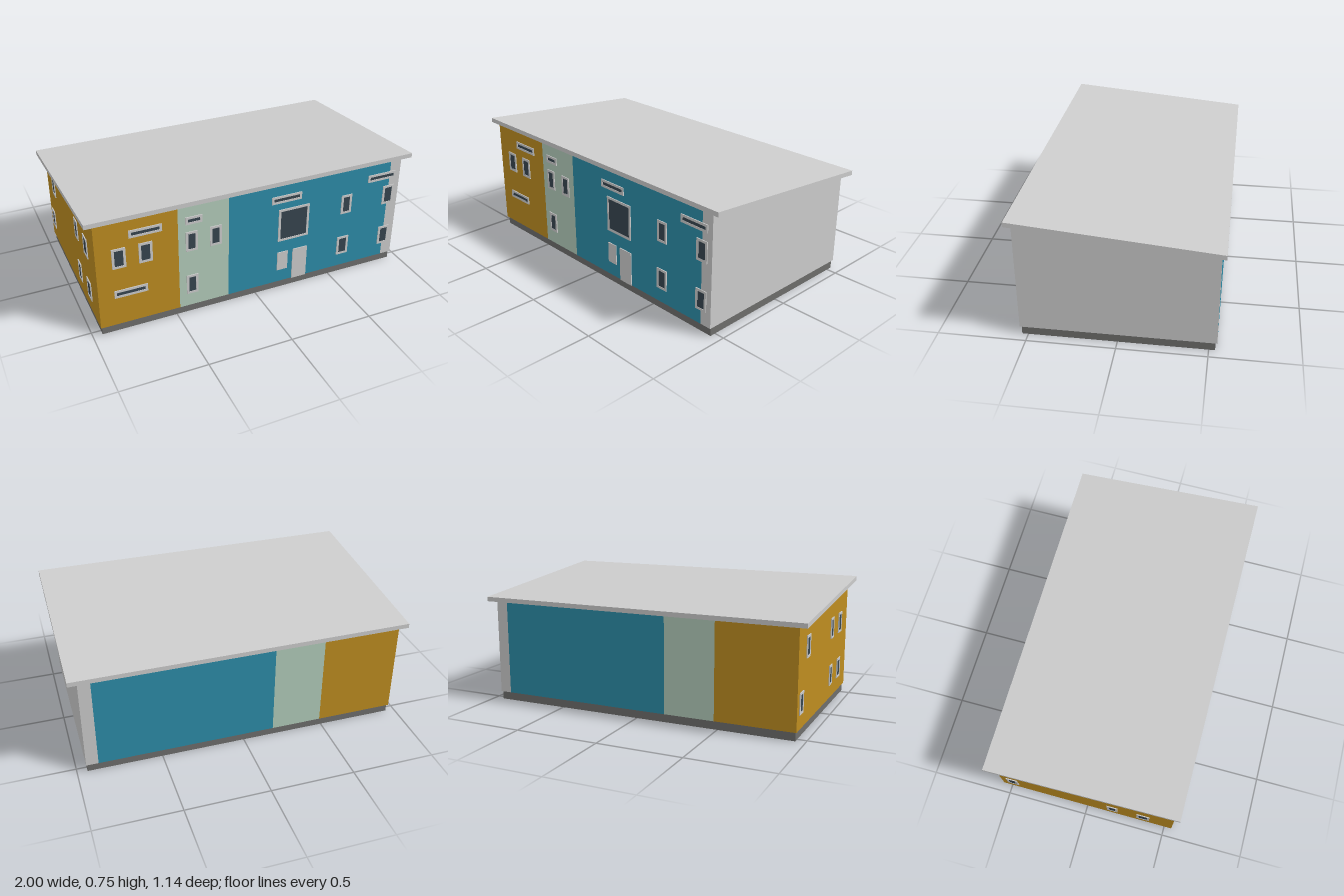
import * as THREE from 'three';

const mat = (name, color) => {
  const m = new THREE.MeshStandardMaterial({ color });
  m.name = name;
  return m;
};

export function createModel() {
  const group = new THREE.Group();
  group.name = 'building';
  const ochre = mat('ochre', 0xbd8c20);
  const mint = mat('mint', 0xb2ccba);
  const blue = mat('blue', 0x2c8ca8);
  const grey = mat('lightGrey', 0xcccccc);
  const plinthGrey = mat('plinthGrey', 0x6e6e6c);
  const glassDark = mat('glass', 0x36454f);

  const add = (parent, name, geometry, material) => {
    const mesh = new THREE.Mesh(geometry, material);
    mesh.name = name;
    parent.add(mesh);
    return mesh;
  };

  // Underside of the sloping roof, higher at the front
  const eave = z => 0.67 + 0.0877 * z;

  // Prism with a (z, y) profile running from x0 to x1
  const prism = (profile, x0, x1) => {
    const shape = new THREE.Shape(profile.map(([z, y]) => new THREE.Vector2(-z, y)));
    const g = new THREE.ExtrudeGeometry(shape, { depth: x1 - x0, bevelEnabled: false });
    return g.rotateY(Math.PI / 2).translate(x0, 0, 0);
  };

  // Plinth
  const plinth = add(group, 'plinth', new THREE.BoxGeometry(1.885, 0.05, 1.07), plinthGrey);
  plinth.position.set(-0.002, 0.025, 0);

  // Coloured wall sections
  const W = 0.545;
  const wallProfile = [[W, 0.05], [W, eave(W)], [-W, eave(-W)], [-W, 0.05]];
  [
    ['ochreWalls', -0.952, -0.483, ochre],
    ['mintWalls', -0.483, -0.18, mint],
    ['blueWalls', -0.18, 0.875, blue],
    ['greyWalls', 0.875, 0.946, grey],
  ].forEach(([name, x0, x1, m]) => add(group, name, prism(wallProfile, x0, x1), m));

  // Roof slab
  const R = 0.57, T = 0.027;
  add(group, 'roof', prism(
    [[R, eave(R)], [R, eave(R) + T], [-R, eave(-R) + T], [-R, eave(-R)]], -1, 1), grey);

  // Framed window in the local xy plane, facing +z
  const makeWindow = (x0, x1, y0, y1) => {
    const win = new THREE.Group();
    win.name = 'window';
    const b = 0.014;
    const rect = (C, l, r, d, u) => new C([[l, d], [r, d], [r, u], [l, u]]
      .map(p => new THREE.Vector2(...p)));
    const shape = rect(THREE.Shape, x0, x1, y0, y1);
    shape.holes.push(rect(THREE.Path, x0 + b, x1 - b, y0 + b, y1 - b));
    add(win, 'windowFrame',
      new THREE.ExtrudeGeometry(shape, { depth: 0.005, bevelEnabled: false }), grey);
    const glass = add(win, 'windowGlass',
      new THREE.BoxGeometry(x1 - x0 - 2 * b, y1 - y0 - 2 * b, 0.003), glassDark);
    glass.position.set((x0 + x1) / 2, (y0 + y1) / 2, 0.0015);
    return win;
  };

  // Front openings
  const front = new THREE.Group();
  front.name = 'frontOpenings';
  front.position.z = W;
  group.add(front);
  const low = [0.134, 0.258], mid = [0.422, 0.547], high = [0.595, 0.642];
  [
    [-0.862, -0.784, mid], [-0.711, -0.633, mid],
    [-0.762, -0.574, high], [-0.862, -0.67, [0.23, 0.278]],
    [-0.44, -0.34, high], [-0.44, -0.37, mid], [-0.296, -0.226, mid], [-0.44, -0.37, low],
    [0.085, 0.276, high], [0.133, 0.331, [0.337, 0.55]],
    [0.549, 0.619, mid], [0.542, 0.619, low],
    [0.724, 0.914, high], [0.838, 0.914, mid], [0.838, 0.914, low],
  ].forEach(([x0, x1, [y0, y1]]) => front.add(makeWindow(x0, x1, y0, y1)));

  // Front door and side panel
  const door = add(front, 'door', new THREE.BoxGeometry(0.096, 0.208, 0.005), grey);
  door.position.set(0.283, 0.154, 0.0025);
  const panel = add(front, 'doorSidePanel', new THREE.BoxGeometry(0.068, 0.124, 0.005), grey);
  panel.position.set(0.168, 0.196, 0.0025);

  // End-wall openings on the -x side
  const end = new THREE.Group();
  end.name = 'endOpenings';
  end.rotation.y = -Math.PI / 2;
  end.position.x = -0.952;
  group.add(end);
  [
    [-0.365, 0.07, mid], [-0.47, 0.07, low],
    [0.167, 0.066, mid], [0.167, 0.066, low],
    [0.36, 0.08, mid], [0.36, 0.08, low],
  ].forEach(([z, w, [y0, y1]]) => end.add(makeWindow(z - w / 2, z + w / 2, y0, y1)));

  return group;
}
